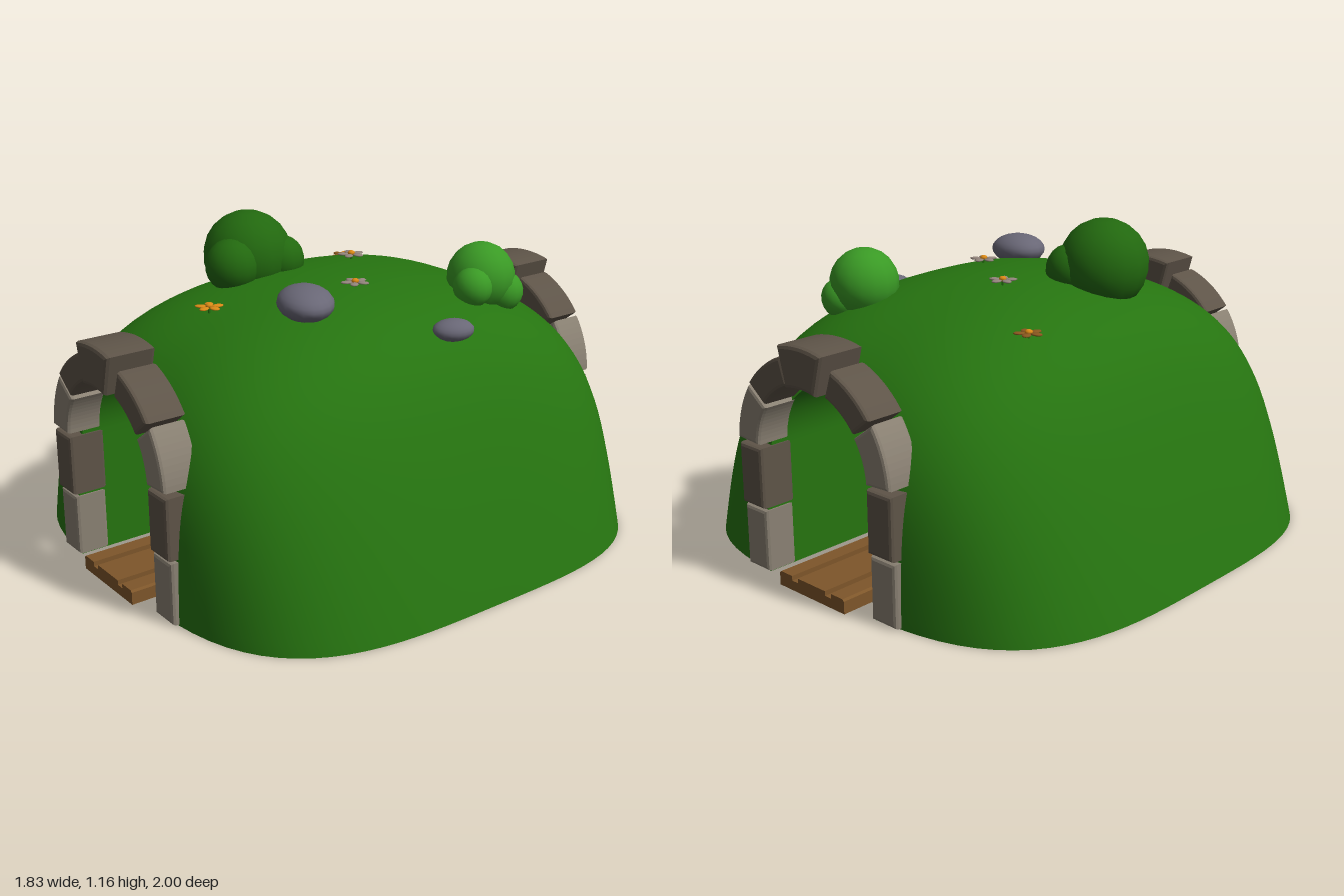
import * as THREE from 'three';

const mat = (name, color) => Object.assign(new THREE.MeshStandardMaterial({ color }), { name });

// Hill proportions: half width, half depth, height; tunnel radius and spring line
const W = 0.915, D = 0.945, H = 0.965, R = 0.272, SPRING = 0.46;

const halfWidth = (v) => W * Math.sqrt(Math.max(0, 1 - 0.7 * v - 0.3 * v ** 8));
const halfDepth = (v) => D * Math.sqrt(Math.max(0, 1 - v ** 4));

// Depth of the hill surface at (x, y): a rounded rectangle at every height
function hillZ(x, y) {
  const v = Math.min(1, y / H);
  const n = 3.5 - 1.1 * v ** 4;
  const r = Math.abs(x) / Math.max(1e-6, halfWidth(v));
  return halfDepth(v) * Math.max(0, 1 - r ** n) ** (1 / n);
}

// Tunnel outline and hill silhouette, t = 0 (right foot) .. 1 (left foot)
function archPoint(t) {
  const side = t <= 0.5 ? 1 : -1;
  const h = 2 * Math.min(t, 1 - t);
  if (h < 0.4) return [side * R, SPRING * h / 0.4];
  const a = (h - 0.4) / 0.6 * Math.PI / 2;
  return [side * R * Math.cos(a), SPRING + R * Math.sin(a)];
}
function silhouettePoint(t) {
  const side = t <= 0.5 ? 1 : -1;
  const v = Math.sin(Math.PI * Math.min(t, 1 - t));
  return [side * halfWidth(v), H * v];
}

// Grid of (rows + 1) x (cols + 1) points joined into a surface
function gridSurface(rows, cols, point, flip = false) {
  const pos = [], idx = [];
  for (let i = 0; i <= rows; i++) for (let j = 0; j <= cols; j++) pos.push(...point(i, j));
  for (let i = 0; i < rows; i++) for (let j = 0; j < cols; j++) {
    const a = i * (cols + 1) + j, b = a + 1, c = a + cols + 1, d = c + 1;
    idx.push(...(flip ? [a, c, b, b, c, d] : [a, b, c, b, d, c]));
  }
  const g = new THREE.BufferGeometry();
  g.setAttribute('position', new THREE.Float32BufferAttribute(pos, 3));
  g.setIndex(idx);
  g.computeVertexNormals();
  return g;
}

// Bevelled extrusion that fills exactly z0..z1
function bevelled(shape, z0, z1, b = 0.012) {
  const g = new THREE.ExtrudeGeometry(shape, {
    depth: z1 - z0 - 2 * b, bevelThickness: b, bevelSize: b, bevelOffset: -b,
    bevelSegments: 2, curveSegments: 5,
  });
  return g.translate(0, 0, z0 + b);
}

export function createModel() {
  const model = new THREE.Group();
  model.name = 'hillTunnel';

  const grass = mat('grass green', 0x267410);
  const darkLeaf = mat('dark leaf green', 0x22680f);
  const lightLeaf = mat('light leaf green', 0x3a9a25);
  const lightStone = mat('light stone', 0x8a8173);
  const darkStone = mat('dark stone', 0x5e5448);
  const wood = mat('wood', 0x7e562a);
  const rock = mat('grey rock', 0x696776);
  const orange = mat('orange', 0xdc8a16);
  const brown = mat('brown petal', 0x8a581f);
  const pale = mat('pale petal', 0x93857c);

  const add = (parent, name, geometry, material) => {
    const m = new THREE.Mesh(geometry, material);
    m.name = name;
    parent.add(m);
    return m;
  };

  // Hill: shell from the front opening over the top to the back opening
  const hill = new THREE.Group();
  hill.name = 'hill';
  model.add(hill);
  const N = 60, M = 20;
  const shellPoint = (i, j) => {
    const t = i / N, u = 1 - Math.abs(j - M) / M;
    const s = 1 - (1 - u) ** 3;
    const [ax, ay] = archPoint(t), [ox, oy] = silhouettePoint(t);
    const x = ax + (ox - ax) * s, y = ay + (oy - ay) * s;
    return [x, y, j === M ? 0 : Math.sign(M - j) * hillZ(x, y)];
  };
  add(hill, 'hillShell', gridSurface(N, 2 * M, shellPoint), grass);
  add(hill, 'tunnelWall', gridSurface(N, 1, (i, j) => shellPoint(i, j * 2 * M), true), grass);
  for (const [row, flip] of [[0, false], [N, true]]) {
    add(hill, 'hillUnderside', gridSurface(M, 1, (i, j) => shellPoint(row, j ? 2 * M - i : i), flip), grass);
  }

  // Stone portals: two leg blocks and two wedges per side, plus a keystone
  const wedge = (r0, r1, deg0, deg1) => {
    const a0 = THREE.MathUtils.degToRad(deg0), a1 = THREE.MathUtils.degToRad(deg1);
    const s = new THREE.Shape();
    s.absarc(0, SPRING, r1, a0, a1, false);
    s.absarc(0, SPRING, r0, a1, a0, true);
    return s;
  };
  const block = (x0, x1, y0, y1) => new THREE.Shape([
    new THREE.Vector2(x0, y0), new THREE.Vector2(x1, y0),
    new THREE.Vector2(x1, y1), new THREE.Vector2(x0, y1),
  ]);
  for (const [name, turn] of [['frontPortal', 0], ['backPortal', Math.PI]]) {
    const portal = new THREE.Group();
    portal.name = name;
    portal.rotation.y = turn;
    model.add(portal);
    for (const s of [1, -1]) {
      const [x0, x1] = s > 0 ? [0.265, 0.38] : [-0.38, -0.265];
      const arc = (r0, r1, a, b) => (s > 0 ? wedge(r0, r1, a, b) : wedge(r0, r1, 180 - b, 180 - a));
      add(portal, 'lowerLegStone', bevelled(block(x0, x1, 0.005, 0.23), 0.835, 0.955), lightStone);
      add(portal, 'upperLegStone', bevelled(block(x0, x1, 0.24, 0.46), 0.83, 0.965), darkStone);
      add(portal, 'sideArchStone', bevelled(arc(0.27, 0.38, 3, 36), 0.835, 0.97), lightStone);
      add(portal, 'upperArchStone', bevelled(arc(0.28, 0.38, 38, 71), 0.825, 0.975), darkStone);
    }
    add(portal, 'keystone', bevelled(wedge(0.275, 0.42, 75, 105), 0.815, 1, 0.014), darkStone);
  }

  // Wooden track bed with two grooves
  const half = [[0.165, 0], [0.165, 0.045], [0.158, 0.052], [0.1, 0.052], [0.1, 0.035], [0.07, 0.035], [0.07, 0.052]];
  const profile = [...half, ...half.slice().reverse().map(([x, y]) => [-x, y])];
  const bed = new THREE.ExtrudeGeometry(
    new THREE.Shape(profile.map(([x, y]) => new THREE.Vector2(x, y))), { depth: 1.97, bevelEnabled: false });
  add(model, 'trackBed', bed.translate(0, 0, -0.985), wood);

  // Bushes: clusters of balls [x, y, z, radius]
  const bush = (name, material, balls) => {
    const g = new THREE.Group();
    g.name = name;
    model.add(g);
    for (const [x, y, z, r] of balls) {
      add(g, 'leafBall', new THREE.SphereGeometry(r, 16, 11), material).position.set(x, y, z);
    }
  };
  bush('darkBush', darkLeaf, [[-0.28, 0.995, 0.19, 0.165], [-0.215, 0.985, 0.3, 0.1], [-0.2, 0.98, 0.1, 0.09]]);
  bush('lightBush', lightLeaf, [[0.315, 0.94, -0.43, 0.125], [0.37, 0.885, -0.49, 0.075], [0.37, 0.925, -0.34, 0.072]]);

  // Rocks: squashed balls
  const boulder = (x, y, z, sx, sy, sz, turn, tilt) => {
    const m = add(model, 'rock', new THREE.SphereGeometry(1, 18, 12), rock);
    m.position.set(x, y, z);
    m.scale.set(sx, sy, sz);
    m.rotation.set(0, turn, tilt);
  };
  boulder(0.243, 0.957, 0.31, 0.122, 0.058, 0.098, -0.4, -0.05);
  boulder(0.513, 0.845, -0.12, 0.055, 0.038, 0.075, -0.35, -0.1);

  // Flowers: five flat petals around a small centre
  const flower = (x, y, z, petal, turn) => {
    const g = new THREE.Group();
    g.name = 'flower';
    g.position.set(x, y, z);
    g.rotation.y = turn;
    model.add(g);
    for (let i = 0; i < 5; i++) {
      const a = i * Math.PI * 2 / 5;
      const p = add(g, 'petal', new THREE.SphereGeometry(1, 8, 6), petal);
      p.scale.set(0.022, 0.005, 0.016);
      p.position.set(0.031 * Math.cos(a), 0, -0.031 * Math.sin(a));
      p.rotation.y = a;
    }
    const c = add(g, 'flowerCentre', new THREE.SphereGeometry(0.014, 8, 6), orange);
    c.scale.y = 0.7;
    c.position.y = 0.004;
    const stem = add(g, 'stem', new THREE.CylinderGeometry(0.005, 0.005, 0.04, 6), grass);
    stem.position.y = -0.02;
  };
  flower(-0.05, 0.908, 0.508, orange, 0.1);
  flower(0.178, 0.968, 0.045, pale, 0.5);
  flower(-0.118, 0.972, -0.17, pale, 0.3);
  flower(-0.415, 0.874, -0.365, brown, 0.8);

  return model;
}
